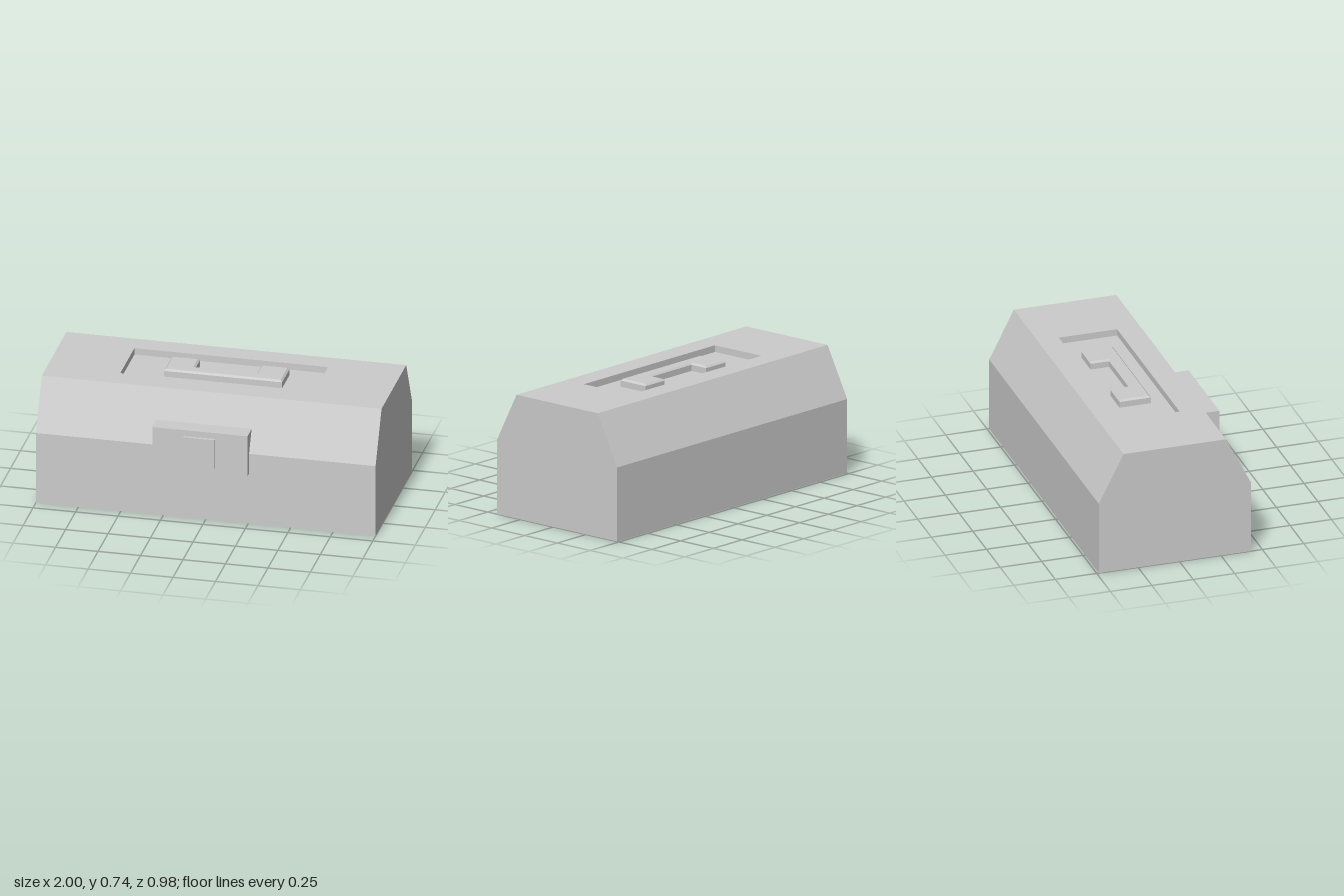
import * as THREE from 'three';

const material = new THREE.MeshStandardMaterial({ color: 0xcccccc, flatShading: true });

function addMesh(parent, name, geometry) {
  const mesh = new THREE.Mesh(geometry, material);
  mesh.name = name;
  parent.add(mesh);
  return mesh;
}

// Joins rectangular levels [y, x0, x1, z0, z1] into a closed shell.
function loftRectangles(levels) {
  const rings = levels.map(([y, x0, x1, z0, z1]) => [
    [x0, y, z1], [x1, y, z1], [x1, y, z0], [x0, y, z0],
  ]);
  const positions = [];
  const quad = (a, b, c, d) => positions.push(...a, ...b, ...c, ...a, ...c, ...d);
  for (let i = 0; i < rings.length - 1; i++) {
    for (let k = 0; k < 4; k++) {
      const n = (k + 1) % 4;
      quad(rings[i][k], rings[i][n], rings[i + 1][n], rings[i + 1][k]);
    }
  }
  quad(...[...rings[0]].reverse());
  quad(...rings[rings.length - 1]);
  const geometry = new THREE.BufferGeometry();
  geometry.setAttribute('position', new THREE.Float32BufferAttribute(positions, 3));
  geometry.computeVertexNormals();
  return geometry;
}

function outline(points) {
  return new THREE.Shape(points.map(([x, y]) => new THREE.Vector2(x, y)));
}

export function createModel() {
  const model = new THREE.Group();
  model.name = 'toolbox';

  // Case: straight walls, sloping shoulders, top with a sunken tray
  addMesh(model, 'case', loftRectangles([
    [0, -1, 1, -0.487, 0.43],
    [0.44, -1, 1, -0.487, 0.43],
    [0.735, -1, 1, -0.338, 0.28],
    [0.735, -0.57, 0.57, -0.21, 0.143],
    [0.695, -0.57, 0.57, -0.21, 0.143],
  ]));

  // Handle: bevelled U lying in the tray, arms pointing back
  const bevel = 0.011;
  const handleShape = outline([
    [-0.335, -0.048], [0.36, -0.048], [0.36, 0.142], [0.193, 0.142],
    [0.193, 0.03], [-0.168, 0.03], [-0.168, 0.142], [-0.335, 0.142],
  ]);
  const handleGeometry = new THREE.ExtrudeGeometry(handleShape, {
    depth: 0.036, bevelEnabled: true, bevelSegments: 1,
    bevelSize: bevel, bevelThickness: bevel, bevelOffset: -bevel,
  });
  handleGeometry.rotateX(-Math.PI / 2);
  addMesh(model, 'handle', handleGeometry).position.y = 0.742 - 0.036 - bevel;

  // Latch plate: its back follows the wall and the sloping shoulder
  const latchShape = outline([
    [-0.47, 0.315], [-0.43, 0.315], [-0.43, 0.44], [-0.365, 0.568], [-0.47, 0.568],
  ]);
  const latchGeometry = new THREE.ExtrudeGeometry(latchShape, { depth: 0.56, bevelEnabled: false });
  latchGeometry.rotateY(Math.PI / 2);
  addMesh(model, 'latchPlate', latchGeometry).position.x = -0.305;

  // Latch button
  addMesh(model, 'latchButton', new THREE.BoxGeometry(0.185, 0.18, 0.02))
    .position.set(-0.0275, 0.441, 0.478);

  return model;
}
